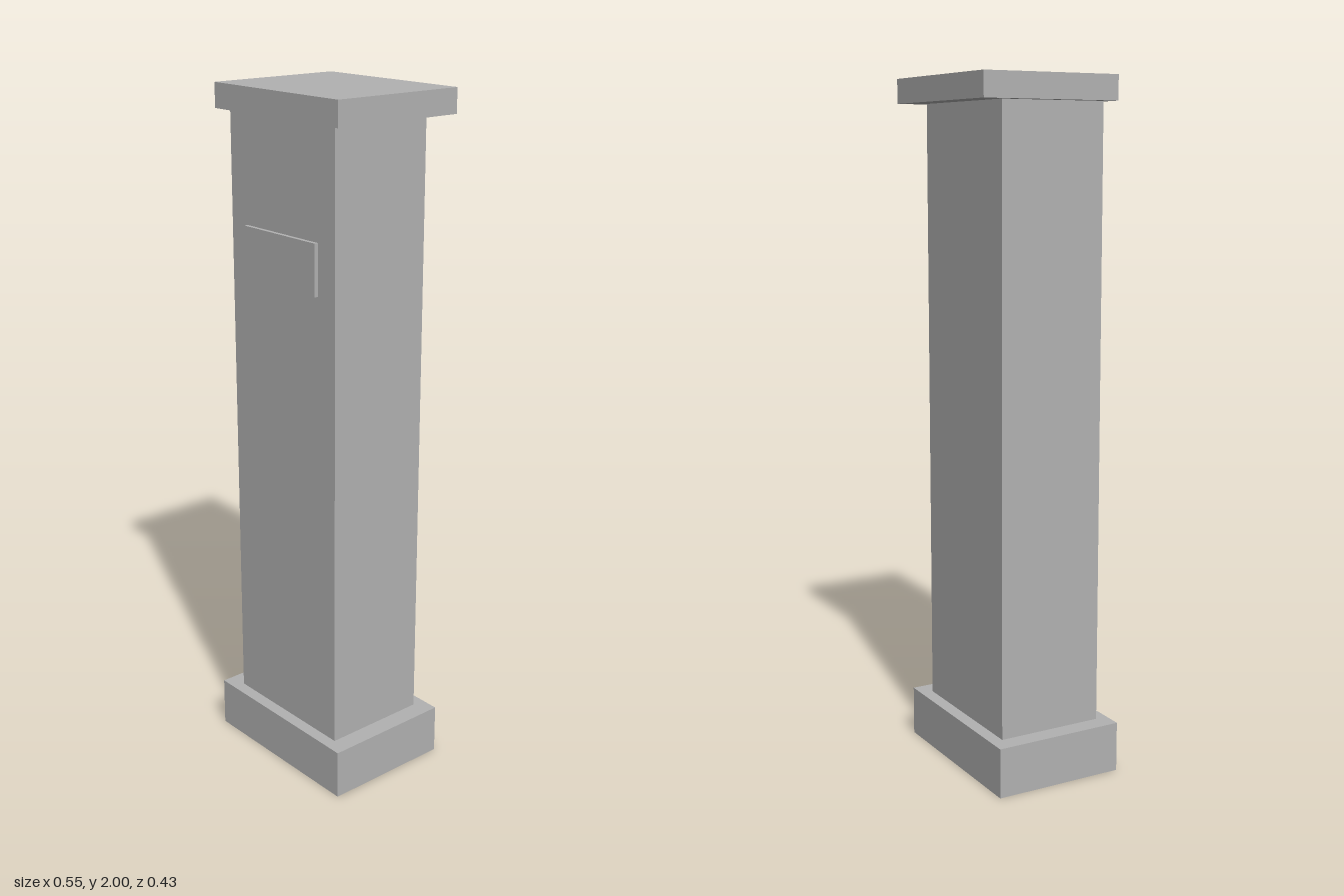
import * as THREE from 'three';

const stone = new THREE.MeshStandardMaterial({ color: 0xb2b2b2, side: THREE.DoubleSide });
stone.name = 'grey stone';

// Box centred on x, given its half width and its y and z limits
function block(name, halfWidth, y0, y1, z0, z1) {
  const geometry = new THREE.BoxGeometry(halfWidth * 2, y1 - y0, z1 - z0);
  const mesh = new THREE.Mesh(geometry, stone);
  mesh.name = name;
  mesh.position.set(0, (y0 + y1) / 2, (z0 + z1) / 2);
  return mesh;
}

// Remove the underside of a box (its fourth face)
function openBottom(mesh) {
  const index = Array.from(mesh.geometry.index.array);
  index.splice(18, 6);
  mesh.geometry.setIndex(index);
  mesh.geometry.clearGroups();
  return mesh;
}

export function createModel() {
  const pillar = new THREE.Group();
  pillar.name = 'pillar';
  pillar.add(
    // Hollow plinth, open underneath
    openBottom(block('base', 0.276, 0, 0.147, -0.178, 0.215)),
    // Shaft stands on the plinth
    openBottom(block('shaft', 0.22, 0.147, 1.93, -0.14, 0.179)),
    // Cap overhangs further at the back
    block('cap', 0.258, 1.93, 2, -0.215, 0.202),
    // Blank raised plate on the front
    block('plaque', 0.152, 1.475, 1.62, 0.179, 0.191)
  );
  return pillar;
}
